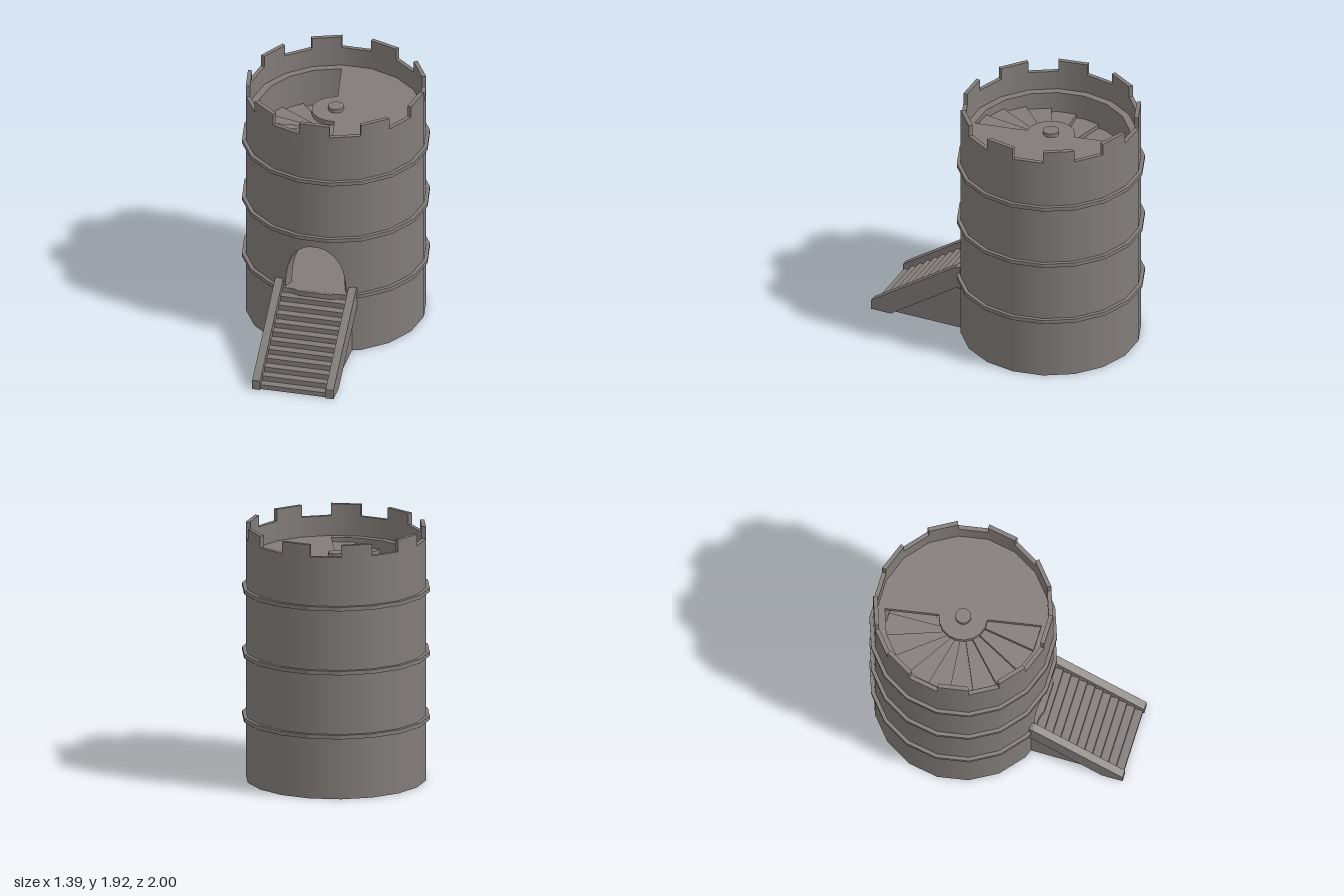
import * as THREE from 'three';

const SIDES = 18, SEG = 360 / SIDES, CZ = -0.316;
const R_OUT = 0.667, R_IN = 0.58, R_PARAPET = 0.635;
const FLOOR = 0.485, ROOF = 1.68, CRENEL = 1.83, TOP = 1.92;
const rad = THREE.MathUtils.degToRad;

// Radius of an 18-sided polygon at an angle (degrees, from +x towards +z)
const polyR = (r, deg) => {
  const local = (((deg % SEG) + SEG) % SEG) - SEG / 2;
  return r * Math.cos(rad(SEG / 2)) / Math.cos(rad(local));
};

// Angles from a to b that include every polygon corner between them
function span(a, b) {
  const list = [a];
  for (let d = Math.floor(a / SEG + 1) * SEG; d < b - 1e-6; d += SEG) list.push(d);
  list.push(b);
  return list;
}

// Solid block swept around the tower axis; lo and hi may vary with the angle
function arcBlock(angles, rIn, rOut, lo, hi, smooth = false) {
  const pos = [], nor = [];
  const at = (f, d) => (typeof f === 'function' ? f(d) : f);
  const pt = (r, d, y) => new THREE.Vector3(
    polyR(r, d) * Math.cos(rad(d)), y, polyR(r, d) * Math.sin(rad(d)));
  const radial = (d, s) => new THREE.Vector3(s * Math.cos(rad(d)), 0, s * Math.sin(rad(d)));
  const quad = (p, out, normals) => {
    const face = p[1].clone().sub(p[0]).cross(p[2].clone().sub(p[0]));
    if (face.lengthSq() < 1e-14) face.copy(p[2]).sub(p[0]).cross(p[3].clone().sub(p[0]));
    const order = face.dot(out) > 0 ? [0, 1, 2, 0, 2, 3] : [0, 2, 1, 0, 3, 2];
    if (face.dot(out) < 0) face.negate();
    face.normalize();
    for (const i of order) {
      pos.push(...p[i].toArray());
      nor.push(...(normals ? normals[i] : face).toArray());
    }
  };
  const up = new THREE.Vector3(0, 1, 0), down = new THREE.Vector3(0, -1, 0);
  for (let i = 0; i < angles.length - 1; i++) {
    const a = angles[i], b = angles[i + 1], mid = (a + b) / 2;
    const la = at(lo, a), lb = at(lo, b), ha = at(hi, a), hb = at(hi, b);
    for (const [r, s] of [[rOut, 1], [rIn, -1]]) {
      if (r === 0) continue;
      const na = radial(a, s), nb = radial(b, s);
      quad([pt(r, a, la), pt(r, b, lb), pt(r, b, hb), pt(r, a, ha)],
        radial(mid, s), smooth ? [na, nb, nb, na] : null);
    }
    quad([pt(rIn, a, ha), pt(rIn, b, hb), pt(rOut, b, hb), pt(rOut, a, ha)], up);
    quad([pt(rIn, a, la), pt(rIn, b, lb), pt(rOut, b, lb), pt(rOut, a, la)], down);
  }
  const first = angles[0], last = angles[angles.length - 1];
  if (last - first < 359.9) {
    for (const [d, s] of [[first, -1], [last, 1]]) {
      const out = new THREE.Vector3(-s * Math.sin(rad(d)), 0, s * Math.cos(rad(d)));
      const l = at(lo, d), h = at(hi, d);
      if (h - l > 1e-5) quad([pt(rIn, d, l), pt(rOut, d, l), pt(rOut, d, h), pt(rIn, d, h)], out);
    }
  }
  const g = new THREE.BufferGeometry();
  g.setAttribute('position', new THREE.Float32BufferAttribute(pos, 3));
  g.setAttribute('normal', new THREE.Float32BufferAttribute(nor, 3));
  return g;
}

// Side profile of [z, y] points extruded across x
function sideExtrude(points, x0, x1) {
  const shape = new THREE.Shape(points.map(([z, y]) => new THREE.Vector2(z, y)));
  const g = new THREE.ExtrudeGeometry(shape, { depth: x1 - x0, bevelEnabled: false });
  return g.rotateY(-Math.PI / 2).translate(x1, 0, 0);
}

export function createModel() {
  const model = new THREE.Group();
  model.name = 'stoneTower';
  const stone = new THREE.MeshStandardMaterial({ color: 0x817c79 });
  stone.name = 'greyStone';
  const tower = new THREE.Group();
  tower.name = 'tower';
  tower.position.z = CZ;
  model.add(tower);
  const add = (name, geometry, parent = tower) => {
    const mesh = new THREE.Mesh(geometry, stone);
    mesh.name = name;
    parent.add(mesh);
    return mesh;
  };

  // Main wall, with an arched doorway at the front
  const D0 = 69.5, D1 = 110.5, HALF = 0.23;
  const arch = (d) => {
    const t = Math.min(1, Math.abs(polyR(R_OUT, d) * Math.cos(rad(d))) / HALF);
    return FLOOR + 0.39 * Math.pow(Math.max(0, 1 - Math.pow(t, 2.5)), 0.48);
  };
  const doorAngles = [80, 100];
  for (let i = 0; i <= 28; i++) doorAngles.push(90 - 20.5 * Math.cos(Math.PI * i / 28));
  doorAngles.sort((a, b) => a - b);
  add('wall', arcBlock(span(D1, D0 + 360), R_IN, R_OUT, 0, ROOF, true));
  add('wallBelowDoor', arcBlock(span(D0, D1), R_IN, R_OUT, 0, FLOOR, true));
  add('wallAboveDoor', arcBlock(doorAngles, R_IN, R_OUT, arch, ROOF, true));

  // Thin parapet with a merlon on every other side
  add('parapet', arcBlock(span(0, 360), R_PARAPET, R_OUT, ROOF, CRENEL, true));
  for (let i = 0; i < SIDES; i += 2) {
    add('merlon', arcBlock([i * SEG, (i + 1) * SEG], R_PARAPET, R_OUT, CRENEL, TOP, true));
  }

  // Band courses; the lowest one stops at the entry stair
  for (const y of [0.475, 0.96, 1.445]) {
    const angles = y < 0.5 ? span(116, 424) : span(0, 360);
    add('bandCourse', arcBlock(angles, 0.65, 0.695, y - 0.015, y + 0.015));
  }

  // Floors, central post and its collar
  add('lowerFloor', arcBlock(span(0, 360), 0, R_IN, 0, FLOOR));
  add('roofFloor', arcBlock(span(-100, 80), 0, R_IN + 0.01, ROOF - 0.04, ROOF));
  add('roofCollar', arcBlock(span(80, 260), 0, 0.18, ROOF - 0.04, ROOF));
  const post = add('centralPost', new THREE.CylinderGeometry(0.058, 0.058, 1.71 - FLOOR, 24));
  post.position.y = (1.71 + FLOOR) / 2;

  // Spiral stair rising from the right of the door, round the back, to the roof
  const COUNT = 36, TURN = 680 / COUNT, RISE = (ROOF - FLOOR) / (COUNT + 1);
  for (let i = 0; i < COUNT; i++) {
    const a = 40 - TURN * i, y = FLOOR + RISE * (i + 1);
    add('spiralStep', arcBlock(span(a - TURN - 1, a), 0.04, 0.575, Math.max(FLOOR, y - 0.065), y));
  }

  // Entry stair: stepped flight, two sloped side walls and a support below
  const entry = new THREE.Group();
  entry.name = 'entryStair';
  model.add(entry);
  const flight = [[0.26, 0.3], [0.84, 0.003], [0.99, 0.003]];
  for (let i = 0; i < 12; i++) {
    const z = 0.99 - 0.061 * i, y = 0.04 + 0.0405 * i;
    flight.push([z, y], [i < 11 ? z - 0.061 : 0.26, y]);
  }
  add('flight', sideExtrude(flight, -0.25, 0.25), entry);
  const rail = [[0.28, 0.36], [0.31, 0.36], [0.84, 0], [1, 0], [1, 0.075], [0.31, 0.54], [0.28, 0.54]];
  for (const s of [-1, 1]) {
    add('stairSideWall', sideExtrude(rail, s * 0.278 - 0.03, s * 0.278 + 0.03), entry);
  }
  add('stairSupport', sideExtrude([[0.2, 0], [0.84, 0], [0.31, 0.36], [0.2, 0.36]], -0.27, 0.27), entry);
  return model;
}
